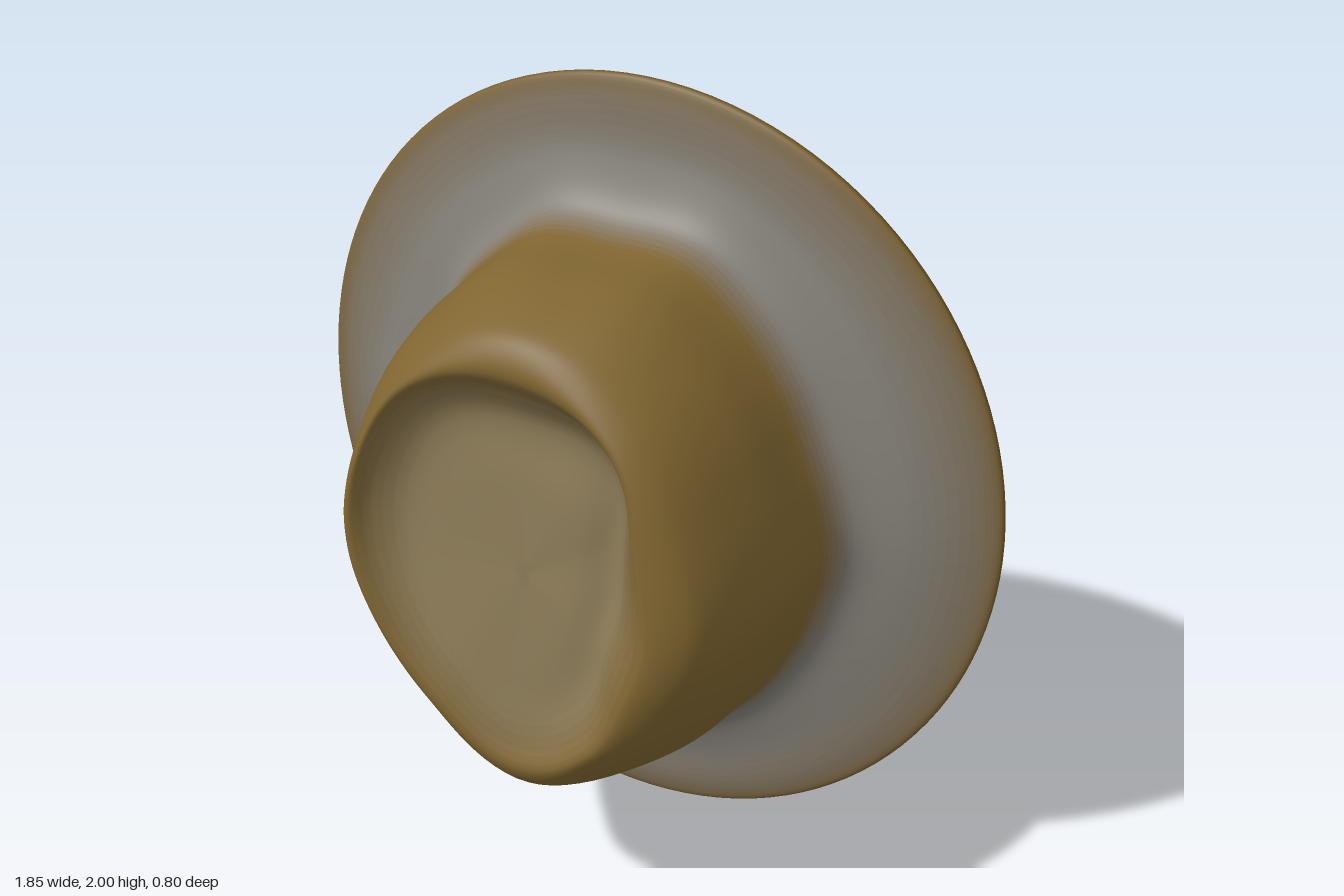
import * as THREE from 'three';

const SEGS = 120;   // steps around the hat
const STEPS = 6;    // steps between neighbouring key rings

// Radius at an angle, smoothly interpolated round a closed list of radii
function radial(list) {
  const n = list.length;
  return (a) => {
    const f = (a / (2 * Math.PI)) * n, i = Math.floor(f), t = f - i;
    const [p, q, r, s] = [-1, 0, 1, 2].map((k) => list[(i + k + n) % n]);
    return q + 0.5 * t * (r - p + t * (2 * p - 5 * q + 4 * r - s + t * (3 * (q - r) + s - p)));
  };
}

// Outlines around the axis, counter-clockwise from +x
const dent = radial([0.27, 0.31, 0.44, 0.44, 0.46, 0.41, 0.36, 0.34, 0.36, 0.43, 0.37, 0.28]);
const rim = radial([0.48, 0.49, 0.56, 0.61, 0.57, 0.495, 0.465, 0.45, 0.49, 0.585, 0.5, 0.46]);
const base = radial([0.572, 0.565, 0.57, 0.6, 0.64, 0.68, 0.665, 0.675, 0.635, 0.6, 0.55, 0.545,
  0.58, 0.545, 0.545, 0.59, 0.595, 0.65, 0.675, 0.665, 0.635, 0.6, 0.575, 0.565]);
const brim = (a) => 1 / Math.hypot(Math.cos(a) / 0.925, Math.sin(a));

// Key points of the hat's section at one angle: from the dent, over the crown and brim, to the back
function section(a) {
  const c = Math.cos(a), s = Math.sin(a);
  const d = dent(a), r = rim(a), b = base(a), o = brim(a);
  const crestR = d + (r - d) * 0.5;
  const crest = 0.395 - 0.085 * ((crestR * s + 0.1) / 0.68) ** 2 + 0.01 * c;
  const floor = 0.285 - 0.045 * s - 0.015 * c;
  const edge = -0.295 + 0.035 * s * s;
  return [
    [0, 0.285],
    [d * 0.5, 0.285 - 0.025 * s],
    [d * 0.85, floor],
    [d + (r - d) * 0.1, (floor + crest) / 2],
    [crestR, crest],
    [r - 0.02, crest - 0.03],
    [r + (b - r) * 0.25, crest - 0.1],
    [r + (b - r) * 0.8, 0.09],
    [b, -0.09],
    [b + 0.04, -0.175],
    [b + (o - b) * 0.45, -0.225],
    [o - 0.05, edge + 0.018],
    [o, edge],
    [o - 0.015, edge - 0.035],
    [o - 0.07, -0.365],
    [o - 0.17, -0.396],
    [o * 0.55, -0.39],
    [0, -0.385],
  ].map(([rad, z]) => new THREE.Vector3(rad * c, 1 + rad * s, z));
}

export function createModel() {
  const group = new THREE.Group();
  group.name = 'hat';

  // One continuous skin of rings, so that normals stay smooth across the parts
  const keys = section(0).length;
  const rows = (keys - 1) * STEPS;
  const positions = [];
  for (let j = 0; j < SEGS; j++) {
    const curve = new THREE.CatmullRomCurve3(section((j / SEGS) * Math.PI * 2));
    for (const p of curve.getPoints(rows)) positions.push(p.x, p.y, p.z);
  }
  const quads = (from, to) => {
    const index = [];
    for (let j = 0; j < SEGS; j++) {
      const p = j * (rows + 1), q = ((j + 1) % SEGS) * (rows + 1);
      for (let i = from; i < to; i++) {
        if (i > 0) index.push(p + i, q + i + 1, q + i);
        if (i < rows - 1) index.push(p + i, p + i + 1, q + i + 1);
        else index.push(p + i, p + i + 1, q + i);
      }
    }
    return index;
  };
  const skin = new THREE.BufferGeometry();
  skin.setAttribute('position', new THREE.Float32BufferAttribute(positions, 3));
  skin.setIndex(quads(0, rows));
  skin.computeVertexNormals();
  // Flat centres of the dent and of the back
  for (let j = 0; j < SEGS; j++) {
    skin.attributes.normal.setXYZ(j * (rows + 1), 0, 0, 1);
    skin.attributes.normal.setXYZ(j * (rows + 1) + rows, 0, 0, -1);
  }

  // Parts are bands of the skin between two key rings, fading between two colors in several strips
  const part = (name, from, to, inner, outer = inner, strips = 1) => {
    const band = new THREE.Group();
    band.name = name;
    const width = ((to - from) * STEPS) / strips;
    for (let k = 0; k < strips; k++) {
      const start = from * STEPS + k * width;
      const geometry = skin.clone();
      geometry.setIndex(quads(start, start + width));
      const color = new THREE.Color(inner).lerp(new THREE.Color(outer), (k + 0.5) / strips);
      const mesh = new THREE.Mesh(geometry, new THREE.MeshStandardMaterial({ color }));
      mesh.name = `${name}Strip${k + 1}`;
      band.add(mesh);
    }
    group.add(band);
  };
  const tan = 0x7f6530, grey = 0x86827a, dark = 0x1e0c0a;
  part('crownDent', 0, 2, 0x8c7b58);
  part('dentWall', 2, 4, 0x8c7b58, tan, 6);
  part('crown', 4, 8, tan);
  part('crownFoot', 8, 9, tan, grey, 6);
  part('brimFlare', 9, 10, grey);
  part('brim', 10, 12, grey, 0x7a6029, 12);
  part('brimEdge', 12, 13, 0x7a6029, dark, 3);
  part('underside', 13, keys - 1, dark);
  return group;
}
